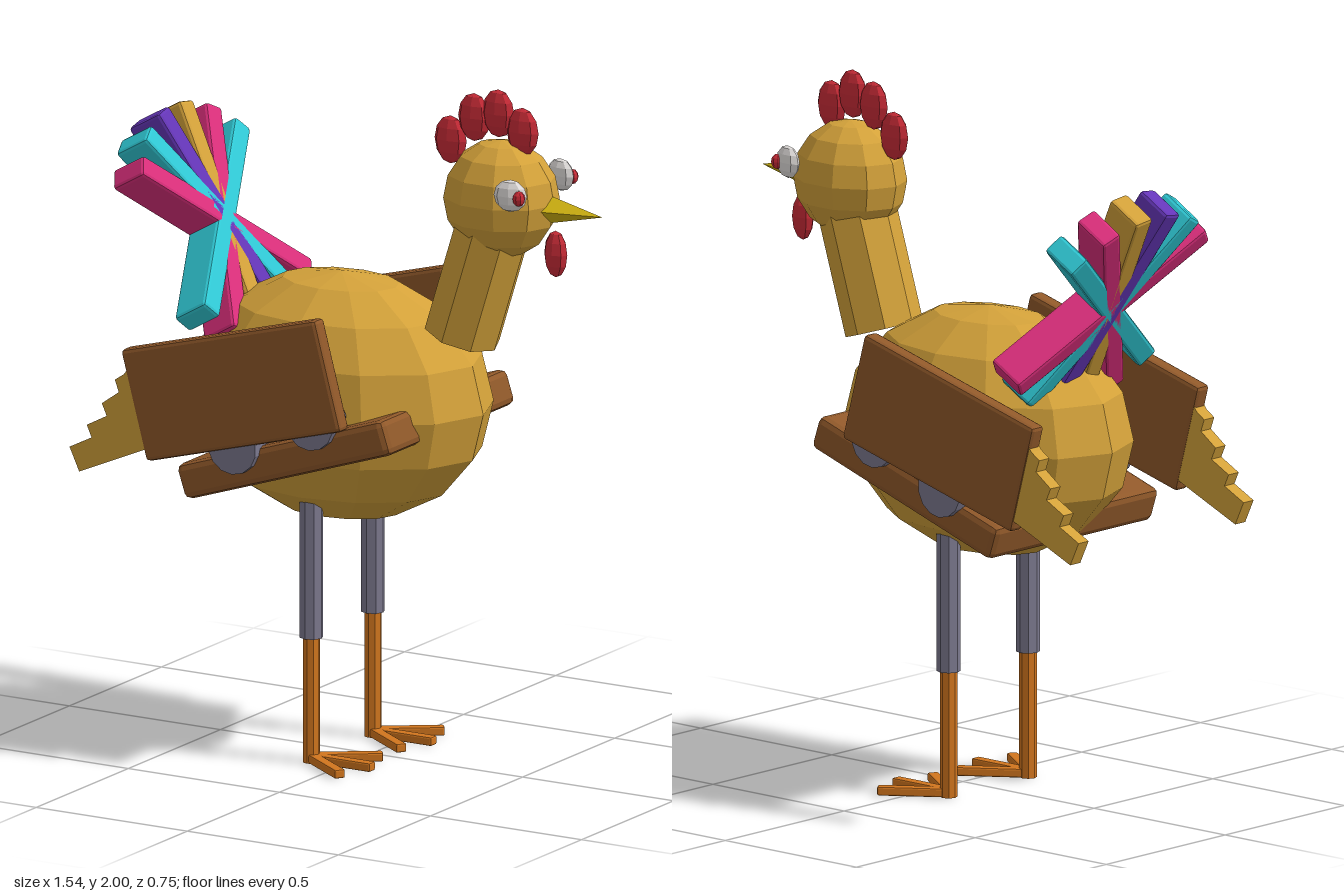
import * as THREE from 'three';
import { RoundedBoxGeometry } from 'three/addons/geometries/RoundedBoxGeometry.js';

function paint(name, color) {
  const m = new THREE.MeshStandardMaterial({ color, flatShading: true });
  m.name = name;
  return m;
}

export function createModel() {
  const gold = paint('gold', 0xd4a23a);
  const brown = paint('brown', 0x91592a);
  const grey = paint('grey', 0x7c798e);
  const orange = paint('orange', 0xd2761e);
  const red = paint('red', 0xcc2c38);
  const teal = paint('teal', 0x30cad6);
  const pink = paint('pink', 0xdc2f7c);
  const purple = paint('purple', 0x6536b8);
  const yellow = paint('beak yellow', 0xd6b812);
  const white = paint('white', 0xe4e0de);

  const model = new THREE.Group();
  model.name = 'bird';

  function add(name, geometry, material, x, y, z, parent = model) {
    const mesh = new THREE.Mesh(geometry, material);
    mesh.name = name;
    mesh.position.set(x, y, z);
    parent.add(mesh);
    return mesh;
  }
  const ellipsoid = (rx, ry, rz, w = 8, h = 6) =>
    new THREE.SphereGeometry(1, w, h).scale(rx, ry, rz);
  const slab = (w, h, d, r) => new RoundedBoxGeometry(w, h, d, 1, r);
  const deg = THREE.MathUtils.degToRad;

  // Body, neck and head, facing +x
  add('body', ellipsoid(0.47, 0.36, 0.32, 12, 8), gold, -0.1, 1.04, 0);
  add('head', ellipsoid(0.175, 0.17, 0.143, 10, 8), gold, 0.43, 1.685, 0);
  add('neck', new THREE.CylinderGeometry(0.112, 0.112, 0.42, 8), gold, 0.363, 1.468, 0)
    .rotation.z = deg(-17.5);

  // Beak: a four-sided cone
  add('beak', new THREE.ConeGeometry(0.05, 0.215, 4), yellow, 0.657, 1.673, 0)
    .rotation.z = deg(-90);

  // Comb and wattle
  for (const [x, y] of [[0.262, 1.832], [0.34, 1.908], [0.42, 1.93], [0.5, 1.887]]) {
    add('comb', ellipsoid(0.053, 0.07, 0.023), red, x, y, 0);
  }
  add('wattle', ellipsoid(0.038, 0.068, 0.023), red, 0.61, 1.545, 0);

  // Sloping board through the body
  add('baseBoard', slab(0.72, 0.104, 0.69, 0.02), brown, -0.085, 0.922, 0)
    .rotation.z = deg(18.3);

  // Stepped wing feathers
  const steps = new THREE.Shape([
    [-0.775, 0.873], [-0.743, 0.805], [-0.5, 0.91], [-0.5, 1.15], [-0.58, 1.13],
    [-0.595, 1.11], [-0.625, 1.09], [-0.612, 1.055], [-0.668, 1.015],
    [-0.652, 0.98], [-0.718, 0.945], [-0.702, 0.91],
  ].map(([x, y]) => new THREE.Vector2(x, y)));
  const featherGeometry = new THREE.ExtrudeGeometry(steps, { depth: 0.042, bevelEnabled: false });

  for (const s of [1, -1]) {
    const side = s > 0 ? 'left' : 'right';

    // Eyes
    add(side + 'Eye', ellipsoid(0.05, 0.047, 0.022), white, 0.543, 1.737, s * 0.137)
      .rotation.y = s * deg(12);
    add(side + 'Pupil', ellipsoid(0.019, 0.022, 0.017), red, 0.576, 1.734, s * 0.145);

    // Wing panel, its feathers and hinge discs
    add(side + 'WingPanel', slab(0.668, 0.327, 0.052, 0.012), brown, -0.24, 1.11, s * 0.348)
      .rotation.z = deg(15.2);
    add(side + 'WingFeathers', featherGeometry, gold, 0, 0, s * 0.347 - 0.021);
    for (const [x, y] of [[-0.24, 0.945], [0.015, 1.05]]) {
      add(side + 'Hinge', new THREE.CylinderGeometry(0.08, 0.08, 0.075, 14), grey, x, y, s * 0.328)
        .rotation.x = deg(90);
    }

    // Leg and three-toed foot
    const leg = new THREE.Group();
    leg.name = side + 'Leg';
    leg.position.set(-0.097, 0, s * 0.167);
    model.add(leg);
    add('upperLeg', new THREE.CylinderGeometry(0.034, 0.034, 0.495, 8), grey, 0, 0.6125, 0, leg);
    add('lowerLeg', new THREE.CylinderGeometry(0.025, 0.025, 0.38, 8), orange, 0, 0.19, 0, leg);
    for (const a of [-35, 0, 35]) {
      const toe = slab(0.215, 0.026, 0.032, 0.005).translate(0.095, 0, 0);
      add('toe', toe, orange, 0, 0.013, 0, leg).rotation.y = deg(a);
    }
  }

  // Tail: bars crossing at one hub, fanned in a plane leaning back
  const tail = new THREE.Group();
  tail.name = 'tail';
  tail.position.set(-0.525, 1.475, 0);
  tail.rotation.z = deg(30);
  model.add(tail);
  [teal, pink, gold, purple, teal, pink].forEach((material, i) => {
    add('tailFeather', slab(0.118, 0.71, 0.066, 0.01), material, 0, 0, 0, tail)
      .rotation.x = deg(-50 + i * 20);
  });

  return model;
}
